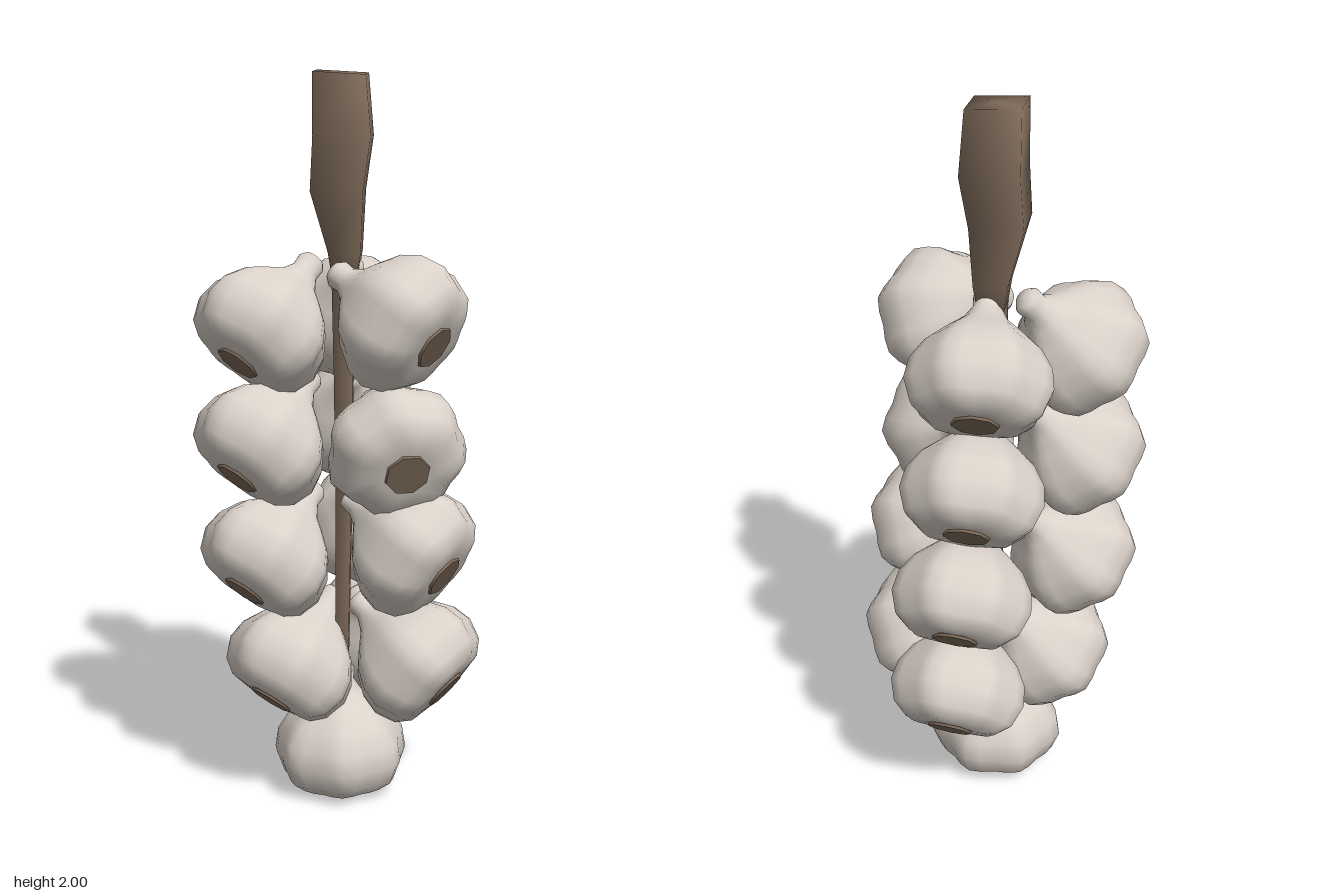
import * as THREE from 'three';
import { mergeVertices } from 'three/addons/utils/BufferGeometryUtils.js';

const LOBES = 7;
const BULGE = 0.1; // height of the widest ring above the root

// Shares vertices so the whole surface is shaded smoothly
function smooth(geometry) {
  geometry.deleteAttribute('uv');
  geometry.deleteAttribute('normal');
  const g = mergeVertices(geometry, 1e-4);
  g.computeVertexNormals();
  return g;
}

// Lobed bulb standing on its root, neck pointing up
function bulbGeometry() {
  const profile = [
    [0, 0.012], [0.07, 0.006], [0.125, 0.012], [0.162, 0.042], [0.183, 0.1], [0.175, 0.155],
    [0.145, 0.208], [0.1, 0.25], [0.058, 0.285], [0.037, 0.32], [0.039, 0.35], [0.028, 0.366], [0, 0.371],
  ].map(([r, y]) => new THREE.Vector2(r, y));
  const g = new THREE.LatheGeometry(profile, LOBES * 4);
  const p = g.attributes.position;
  for (let i = 0; i < p.count; i++) {
    const x = p.getX(i), y = p.getY(i), z = p.getZ(i);
    const amount = 0.05 * THREE.MathUtils.clamp((0.33 - y) / 0.15, 0, 1);
    const k = 1 + amount * Math.cos(LOBES * Math.atan2(x, z));
    p.setXYZ(i, x * k, y, z * k);
  }
  return smooth(g);
}

// Four-sided stalk through rings of [y, centre x, centre z, radius, slope], bottom to top
function stalkGeometry(rings) {
  const n = rings.length - 1;
  const g = new THREE.CylinderGeometry(1, 1, n, 4, n);
  const p = g.attributes.position;
  for (let i = 0; i < p.count; i++) {
    const [y, cx, cz, r, slope = 0] = rings[Math.round(p.getY(i) + n / 2)];
    const x = p.getX(i) * r;
    p.setXYZ(i, cx + x, y + slope * x, cz + p.getZ(i) * r);
  }
  return smooth(g);
}

export function createModel() {
  const model = new THREE.Group();
  model.name = 'garlicBraid';
  const skin = new THREE.MeshStandardMaterial({ color: 0xdbd2ca });
  skin.name = 'garlicSkin';
  const dry = new THREE.MeshStandardMaterial({ color: 0x806c5b });
  dry.name = 'driedStalk';

  // Thick stalk with a slightly sloping cut, and the thin stem the bulbs hang from
  const stalk = new THREE.Mesh(stalkGeometry([
    [1.45, -0.025, -0.01, 0.045], [1.53, -0.025, -0.01, 0.062], [1.69, -0.03, 0.01, 0.098],
    [1.83, -0.034, -0.012, 0.107], [1.992, -0.034, -0.003, 0.098, -0.08],
  ]), dry);
  stalk.name = 'stalk';
  const stem = new THREE.Mesh(stalkGeometry([
    [0.3, -0.03, 0, 0.025], [0.8, -0.02, 0, 0.03], [1.2, -0.02, 0, 0.036], [1.5, -0.025, -0.01, 0.05],
  ]), dry);
  stem.name = 'stem';
  model.add(stalk, stem);

  const bodyGeo = bulbGeometry();
  const rootGeo = new THREE.CylinderGeometry(0.065, 0.06, 0.016, 8).translate(0, 0.008, 0);
  const down = new THREE.Vector3(0, -1, 0);

  // Places a bulb by the centre of its widest ring and the way its root points
  function addBulb(name, centre, direction) {
    const bulb = new THREE.Group();
    bulb.name = name;
    const body = new THREE.Mesh(bodyGeo, skin);
    body.name = 'bulbBody';
    const root = new THREE.Mesh(rootGeo, dry);
    root.name = 'rootDisc';
    bulb.add(body, root);
    const dir = new THREE.Vector3(...direction).normalize();
    bulb.quaternion.setFromUnitVectors(down, dir);
    bulb.position.set(...centre).addScaledVector(dir, BULGE);
    model.add(bulb);
  }

  addBulb('bottomBulb', [-0.035, 0.1, 0], [0, -1, 0]);

  // Four tiers of three bulbs, top to bottom: [centre, root direction]
  const rows = {
    frontBulb: [
      [[-0.115, 1.315, 0.217], [-0.03, -0.71, 0.7]],
      [[-0.115, 1.005, 0.226], [-0.03, -0.71, 0.7]],
      [[-0.118, 0.685, 0.207], [0, -0.71, 0.7]],
      [[-0.09, 0.365, 0.145], [0, -0.74, 0.67]],
    ],
    leftBulb: [
      [[0.212, 1.35, -0.015], [0.84, -0.48, -0.2]],
      [[0.195, 1.015, 0], [0.84, -0.4, 0.4]],
      [[0.197, 0.725, -0.075], [0.82, -0.5, -0.23]],
      [[0.17, 0.39, -0.12], [0.75, -0.6, -0.25]],
    ],
    backBulb: [
      [[-0.155, 1.32, -0.145], [-0.54, -0.66, -0.5]],
      [[-0.178, 1.018, -0.185], [-0.52, -0.66, -0.54]],
      [[-0.173, 0.702, -0.218], [-0.49, -0.66, -0.56]],
      [[-0.147, 0.382, -0.218], [-0.46, -0.66, -0.58]],
    ],
  };
  for (const [name, bulbs] of Object.entries(rows)) {
    bulbs.forEach(([centre, direction], i) => addBulb(name + (i + 1), centre, direction));
  }
  return model;
}
